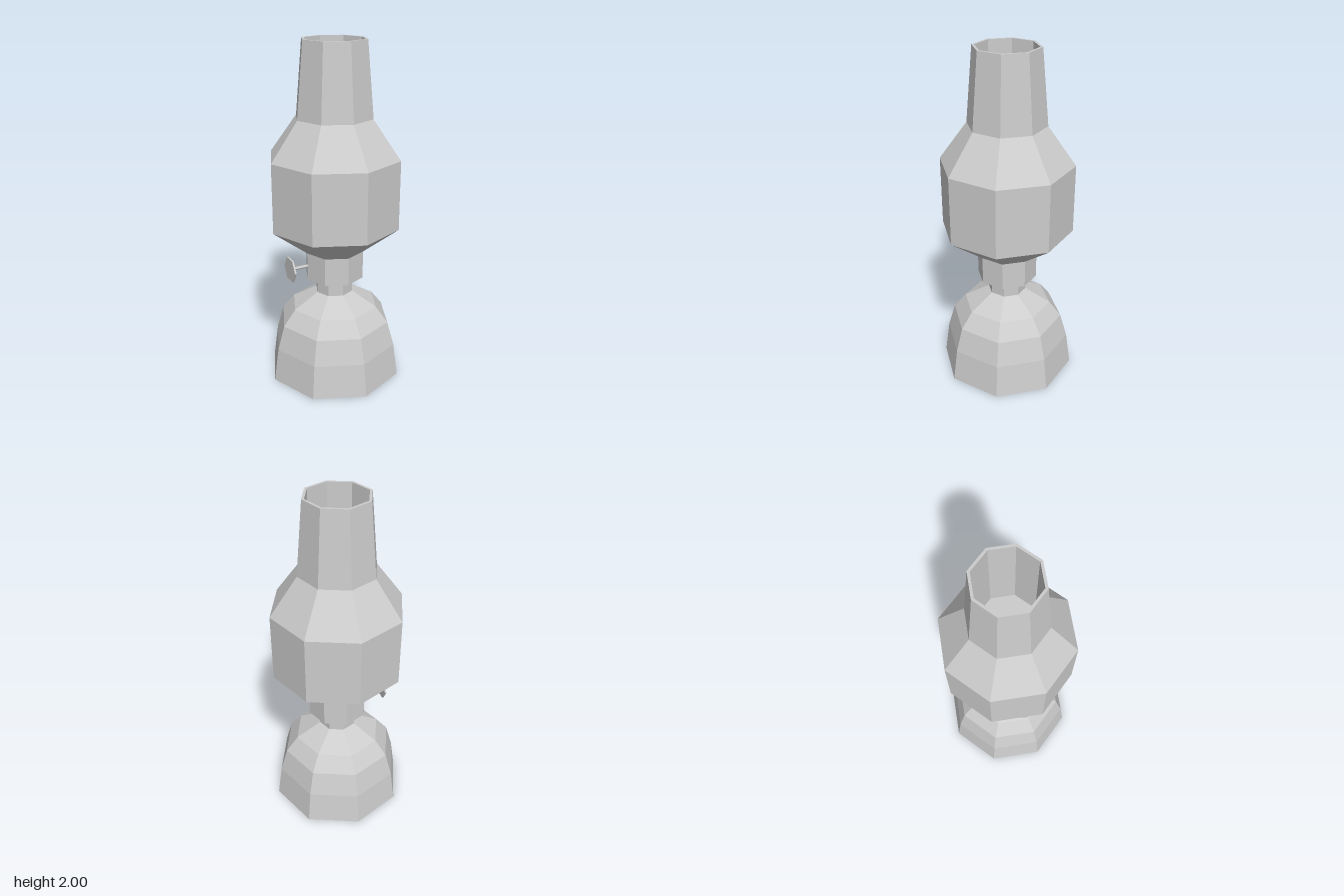
import * as THREE from 'three';

export function createModel() {
  const model = new THREE.Group();
  model.name = 'oilLamp';

  const grey = new THREE.MeshStandardMaterial({ color: 0xcccccc, flatShading: true });
  grey.name = 'plain grey';

  // Eight-sided turned part from [radius, height] pairs, listed bottom to top
  const turned = (name, profile) => {
    const points = profile.map(([r, y]) => new THREE.Vector2(r, y));
    const mesh = new THREE.Mesh(new THREE.LatheGeometry(points, 8), grey);
    mesh.name = name;
    model.add(mesh);
  };

  // Domed fuel reservoir with a closed underside
  turned('reservoir', [[0, 0], [0.405, 0], [0.377, 0.2], [0.335, 0.347], [0.262, 0.44], [0.113, 0.525]]);

  // Narrow neck
  turned('neck', [[0.113, 0.525], [0.113, 0.61]]);

  // Burner collar with a sloped underside
  turned('burnerCollar', [[0.113, 0.61], [0.177, 0.622], [0.177, 0.79]]);

  // Glass chimney: outer wall, rim, inner wall and inner floor
  turned('chimney', [
    [0.177, 0.79], [0.385, 0.95], [0.385, 1.355], [0.225, 1.577], [0.187, 2],
    [0.172, 2], [0.168, 1.5], [0, 1.5],
  ]);

  // Wick adjuster on the model's right: six-sided spindle and wheel along x
  const rod = (name, radius, length, x) => {
    const geometry = new THREE.CylinderGeometry(radius, radius, length, 6);
    geometry.rotateZ(Math.PI / 2);
    const mesh = new THREE.Mesh(geometry, grey);
    mesh.name = name;
    mesh.position.set(x, 0.71, 0);
    model.add(mesh);
  };
  rod('wickSpindle', 0.009, 0.12, -0.225);
  rod('wickWheel', 0.076, 0.01, -0.285);

  return model;
}
